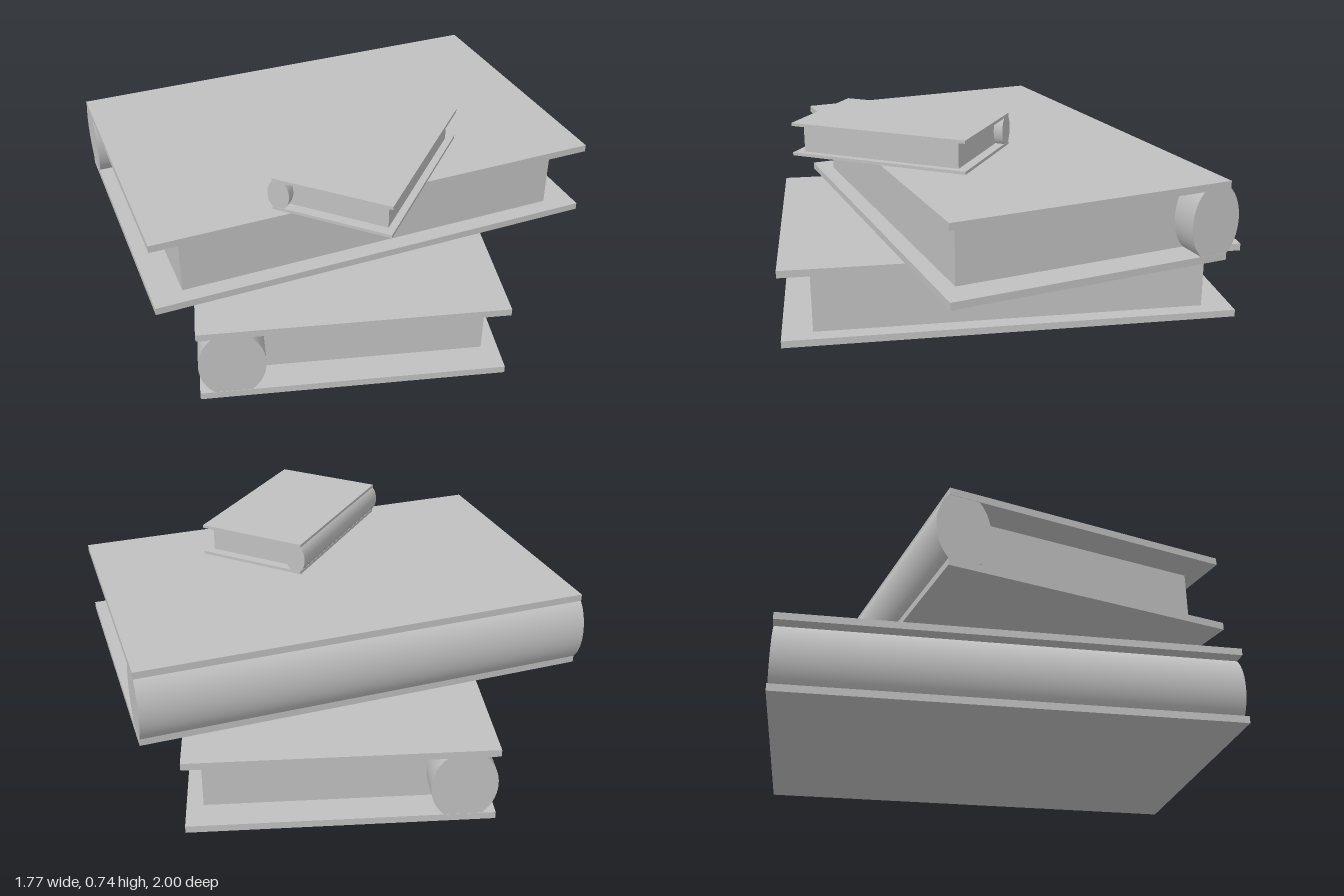
import * as THREE from 'three';

const grey = new THREE.MeshStandardMaterial({ color: 0xc0c0c0 });
grey.name = 'plain grey';

// One closed book lying flat: spine along local -x, fore edge at +x, length along z.
function makeBook(name, o) {
  const book = new THREE.Group();
  book.name = name;
  const add = (part, geometry, x, y) => {
    const mesh = new THREE.Mesh(geometry, grey);
    mesh.name = part;
    mesh.position.set(x, y, 0);
    book.add(mesh);
  };
  const { width, length, height, board, overhang, foreInset, endInset, spineHalf } = o;
  const half = width / 2;

  // Cover boards, stopping short of the rounded spine by the overhang
  const boardGeo = new THREE.BoxGeometry(width - overhang, board, length);
  add('bottomCover', boardGeo, overhang / 2, board / 2);
  add('topCover', boardGeo, overhang / 2, height - board / 2);

  // Page block, running from the middle of the spine to the fore edge
  const x0 = -half + spineHalf, x1 = half - foreInset;
  add('pages', new THREE.BoxGeometry(x1 - x0, height - 2 * board, length - 2 * endInset),
    (x0 + x1) / 2, height / 2);

  // Rounded spine: an oval rod held between the boards
  const spineGeo = new THREE.CylinderGeometry(1, 1, length - 0.002, 48);
  spineGeo.rotateX(Math.PI / 2);
  spineGeo.scale(spineHalf, height / 2 - 0.002, 1);
  add('spine', spineGeo, x0, height / 2);

  book.position.set(...o.position);
  book.rotation.y = THREE.MathUtils.degToRad(o.turn);
  return book;
}

export function createModel() {
  const model = new THREE.Group();
  model.name = 'bookStack';
  model.add(
    makeBook('bottomBook', {
      width: 1.13, length: 1.752, height: 0.307, board: 0.028, overhang: 0,
      foreInset: 0.063, endInset: 0.117, spineHalf: 0.122,
      position: [-0.01, 0, -0.003], turn: -16,
    }),
    makeBook('middleBook', {
      width: 1.138, length: 1.756, height: 0.305, board: 0.028, overhang: 0.045,
      foreInset: 0.065, endInset: 0.117, spineHalf: 0.1,
      position: [-0.003, 0.307, -0.028], turn: -91,
    }),
    makeBook('topBook', {
      width: 0.472, length: 0.727, height: 0.13, board: 0.012, overhang: 0.018,
      foreInset: 0.027, endInset: 0.038, spineHalf: 0.042,
      position: [-0.01, 0.612, 0.386], turn: -46,
    }),
  );
  return model;
}
